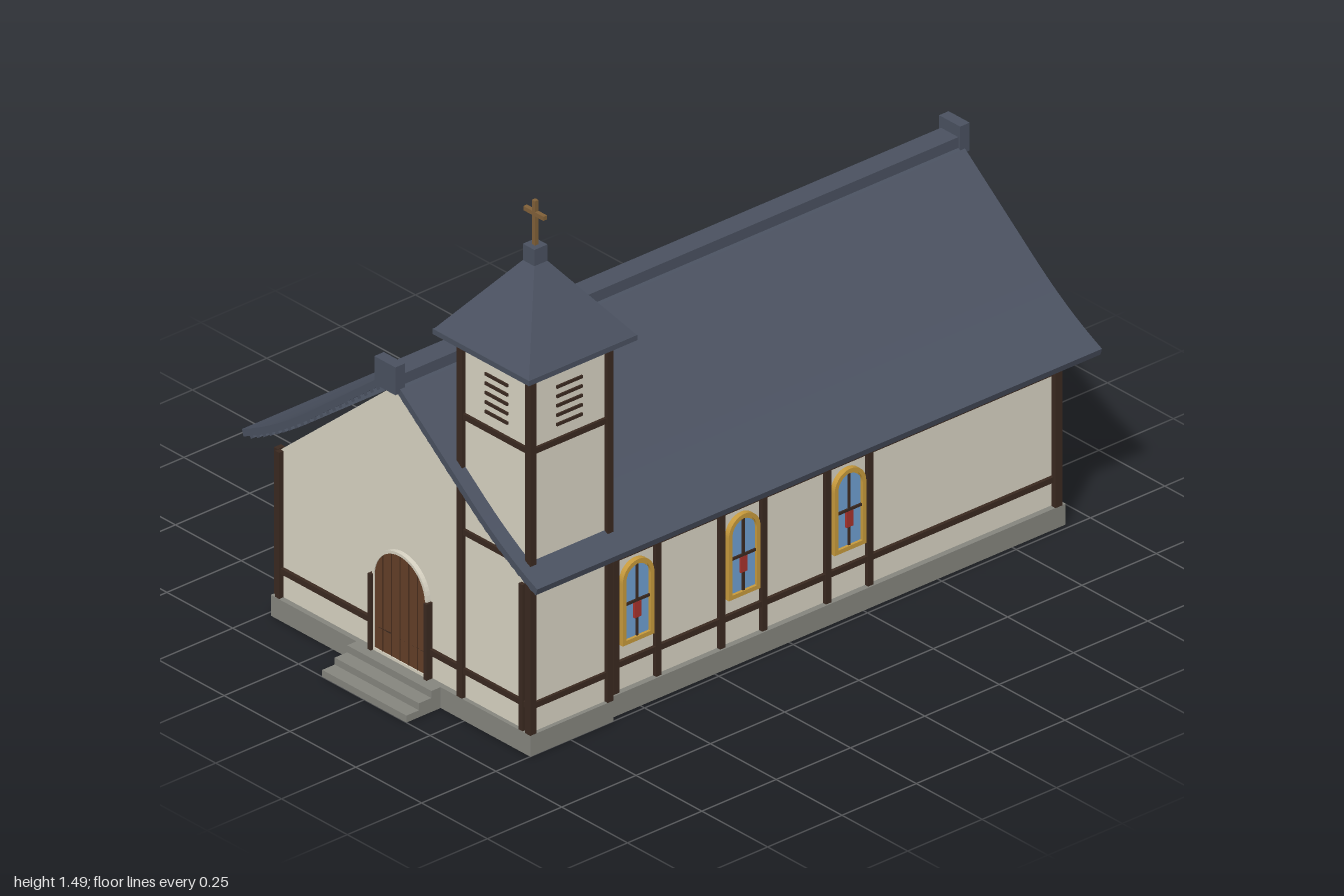
import * as THREE from 'three';

const mat = (color) => new THREE.MeshStandardMaterial({ color, side: THREE.DoubleSide, flatShading: true });
const M = {
  wall: mat(0xd8d3c3), timber: mat(0x3a2920), roof: mat(0x4a5160), stone: mat(0x85857e), door: mat(0x633f28),
  plank: mat(0x4b2f1e), gold: mat(0xc79a3c), glass: mat(0x6f9fd2), red: mat(0xa8322c), brass: mat(0x806038),
};

function add(parent, name, geometry, material) {
  const mesh = new THREE.Mesh(geometry, material);
  mesh.name = name;
  parent.add(mesh);
  return mesh;
}

// Box given by its extents
function box(parent, name, material, x0, x1, y0, y1, z0, z1) {
  const m = add(parent, name, new THREE.BoxGeometry(x1 - x0, y1 - y0, z1 - z0), material);
  m.position.set((x0 + x1) / 2, (y0 + y1) / 2, (z0 + z1) / 2);
  return m;
}

function group(parent, name) {
  const g = new THREE.Group();
  g.name = name;
  parent.add(g);
  return g;
}

// Round-topped outline standing on y0, with the arch springing at ys
function arch(r, y0, ys, Type = THREE.Shape) {
  const s = new Type();
  s.moveTo(-r, y0);
  s.lineTo(r, y0);
  s.lineTo(r, ys);
  s.absarc(0, ys, r, 0, Math.PI, false);
  s.closePath();
  return s;
}

const extrude = (shape, depth) =>
  new THREE.ExtrudeGeometry(shape, { depth, bevelEnabled: false, curveSegments: 14 });

function archFrame(r, t, y0, ys, depth) {
  const s = arch(r, y0, ys);
  s.holes.push(arch(r - t, y0 + t, ys, THREE.Path));
  return extrude(s, depth);
}

// Stained glass window facing +z, base at y = 0
function makeWindow(parent) {
  const w = group(parent, 'window');
  add(w, 'windowFrame', archFrame(0.053, 0.012, 0, 0.18, 0.016), M.gold);
  add(w, 'windowGlass', extrude(arch(0.043, 0.006, 0.18), 0.008), M.glass);
  const fan = new THREE.Shape();
  fan.absarc(0, 0.18, 0.043, 0.15, Math.PI - 0.15, false);
  fan.quadraticCurveTo(0, 0.245, 0.043, 0.19);
  add(w, 'windowFan', extrude(fan, 0.011), M.gold);
  box(w, 'mullion', M.timber, -0.003, 0.003, 0.01, 0.23, 0, 0.013);
  box(w, 'transom', M.timber, -0.043, 0.043, 0.11, 0.117, 0, 0.013);
  box(w, 'redPane', M.red, -0.011, 0.011, 0.065, 0.11, 0, 0.014);
  return w;
}

// Height of the flared roof's underside at distance x from the ridge
const roofY = (x) => 0.885 - 0.775 * x + 0.65 * Math.max(0, x - 0.3) ** 2;

function makeNave(root) {
  const nave = group(root, 'nave');
  box(nave, 'foundation', M.stone, -0.485, 0.485, 0, 0.06, -0.93, 0.885);

  // Gabled body
  const gable = new THREE.Shape();
  [[-0.468, 0.06], [0.468, 0.06], [0.468, 0.478], [0, 0.868], [-0.468, 0.478]]
    .forEach(([x, y], i) => (i ? gable.lineTo(x, y) : gable.moveTo(x, y)));
  add(nave, 'walls', extrude(gable, 1.782), M.wall).position.z = -0.913;

  // Timber frame on both long sides
  for (const s of [-1, 1]) {
    const side = group(nave, 'sideFrame');
    const strip = (name, y0, y1, z0, z1, out = 0.48) =>
      box(side, name, M.timber, s > 0 ? 0.46 : -out, s > 0 ? out : -0.46, y0, y1, z0, z1);
    strip('lowerRail', 0.13, 0.146, -0.92, 0.87, 0.478);
    strip('upperRail', 0.438, 0.454, -0.92, 0.87, 0.478);
    for (const z of [0.505, 0.148, -0.208]) {
      for (const d of [-0.071, 0.071]) strip('stud', 0.06, 0.475, z + d - 0.009, z + d + 0.009);
      const w = makeWindow(nave);
      w.position.set(s * 0.467, 0.19, z);
      w.rotation.y = s * Math.PI / 2;
    }
    // Paired corner posts
    for (const [e, z] of [[1, 0.862], [-1, -0.907]]) {
      box(side, 'cornerPost', M.timber, s * 0.4785 - 0.0075, s * 0.4785 + 0.0075, 0.06, 0.48, z - 0.012, z + 0.012);
      box(side, 'cornerPost', M.timber, s * 0.462 - 0.0075, s * 0.462 + 0.0075, 0.06, 0.48,
        z + e * 0.014 - 0.008, z + e * 0.014 + 0.008);
    }
  }
  box(nave, 'frontRail', M.timber, -0.47, 0.23, 0.13, 0.146, 0.86, 0.879);
  box(nave, 'backRail', M.timber, -0.47, 0.47, 0.13, 0.146, -0.924, -0.905);
}

function makeRoof(root) {
  const roof = group(root, 'roof');
  const N = 16, W = 0.555;
  for (const s of [-1, 1]) {
    // Flared slab
    const p = new THREE.Shape();
    p.moveTo(0, roofY(0));
    for (let i = 1; i <= N; i++) p.lineTo(s * W * i / N, roofY(W * i / N));
    for (let i = N; i >= 0; i--) p.lineTo(s * (W * i / N + (i ? 0.006 : 0)), roofY(W * i / N) + 0.019);
    add(roof, 'roofSlope', extrude(p, 1.9), M.roof).position.z = -0.985;
    // Battens under the slope
    for (let x = 0.05; x < 0.54; x += 0.024) {
      const b = box(roof, 'batten', M.roof, -0.007, 0.007, -0.006, 0.006, -0.98, 0.91);
      b.position.x = s * x;
      b.position.y = roofY(x) - 0.002;
      b.rotation.z = -s * 0.62;
    }
  }
  box(roof, 'ridgeCap', M.roof, -0.033, 0.033, 0.875, 0.913, -0.985, 0.915);
  for (const z of [0.915, -0.985]) box(roof, 'ridgeEnd', M.roof, -0.04, 0.04, 0.866, 0.946, z - 0.016, z + 0.016);
}

function makeEntrance(root) {
  const e = group(root, 'entrance');
  for (let i = 0; i < 3; i++)
    box(e, 'step', M.stone, -0.16, 0.16, i * 0.02, (i + 1) * 0.02, 0.87, 1 - i * 0.042);
  add(e, 'door', extrude(arch(0.098, 0.06, 0.275), 0.014), M.door).position.z = 0.865;
  add(e, 'doorArch', archFrame(0.105, 0.008, 0.06, 0.272, 0.02), M.wall).position.z = 0.862;
  for (let i = -2; i <= 2; i++) {
    const x = i * 0.033, top = 0.275 + Math.sqrt(0.095 ** 2 - x * x);
    box(e, 'plankJoint', M.plank, x - 0.0015, x + 0.0015, 0.06, top, 0.87, 0.8805);
  }
  for (const s of [-1, 1]) box(e, 'doorPost', M.timber, s * 0.106 - 0.006, s * 0.106 + 0.006, 0.06, 0.278, 0.86, 0.89);
}

function makeTower(root) {
  const t = group(root, 'tower');
  t.position.set(0.361, 0, 0.745);
  box(t, 'towerFoundation', M.stone, -0.14, 0.14, 0, 0.06, -0.14, 0.14);
  box(t, 'towerWalls', M.wall, -0.128, 0.128, 0.06, 1.1, -0.128, 0.128);
  for (const x of [-0.13, 0.13]) for (const z of [-0.13, 0.13])
    box(t, 'towerPost', M.timber, x - 0.01, x + 0.01, 0.06, 1.1, z - 0.01, z + 0.01);

  // Rails and louvres, the same on every face
  for (let i = 0; i < 4; i++) {
    const face = group(t, 'towerFace');
    face.rotation.y = i * Math.PI / 2;
    for (const y of [0.138, 0.537, 0.869]) box(face, 'towerRail', M.timber, -0.125, 0.125, y - 0.008, y + 0.008, 0.12, 0.136);
    for (let k = 0; k < 5; k++) {
      const y = 0.915 + k * 0.027;
      box(face, 'louvre', M.timber, -0.043, 0.043, y - 0.004, y + 0.004, 0.12, 0.133);
    }
  }

  // Pyramid spire with finial and cross
  box(t, 'spireEave', M.roof, -0.183, 0.183, 1.098, 1.113, -0.183, 0.183);
  const spire = add(t, 'spire', new THREE.CylinderGeometry(0.015, 0.181 * Math.SQRT2, 0.22, 4), M.roof);
  spire.rotation.y = Math.PI / 4;
  spire.position.y = 1.223;
  box(t, 'finial', M.roof, -0.022, 0.022, 1.313, 1.365, -0.022, 0.022);
  box(t, 'crossPost', M.brass, -0.006, 0.006, 1.36, 1.492, -0.006, 0.006);
  box(t, 'crossBar', M.brass, -0.038, 0.038, 1.449, 1.461, -0.006, 0.006);
}

export function createModel() {
  const root = new THREE.Group();
  root.name = 'church';
  makeNave(root);
  makeRoof(root);
  makeEntrance(root);
  makeTower(root);
  return root;
}
